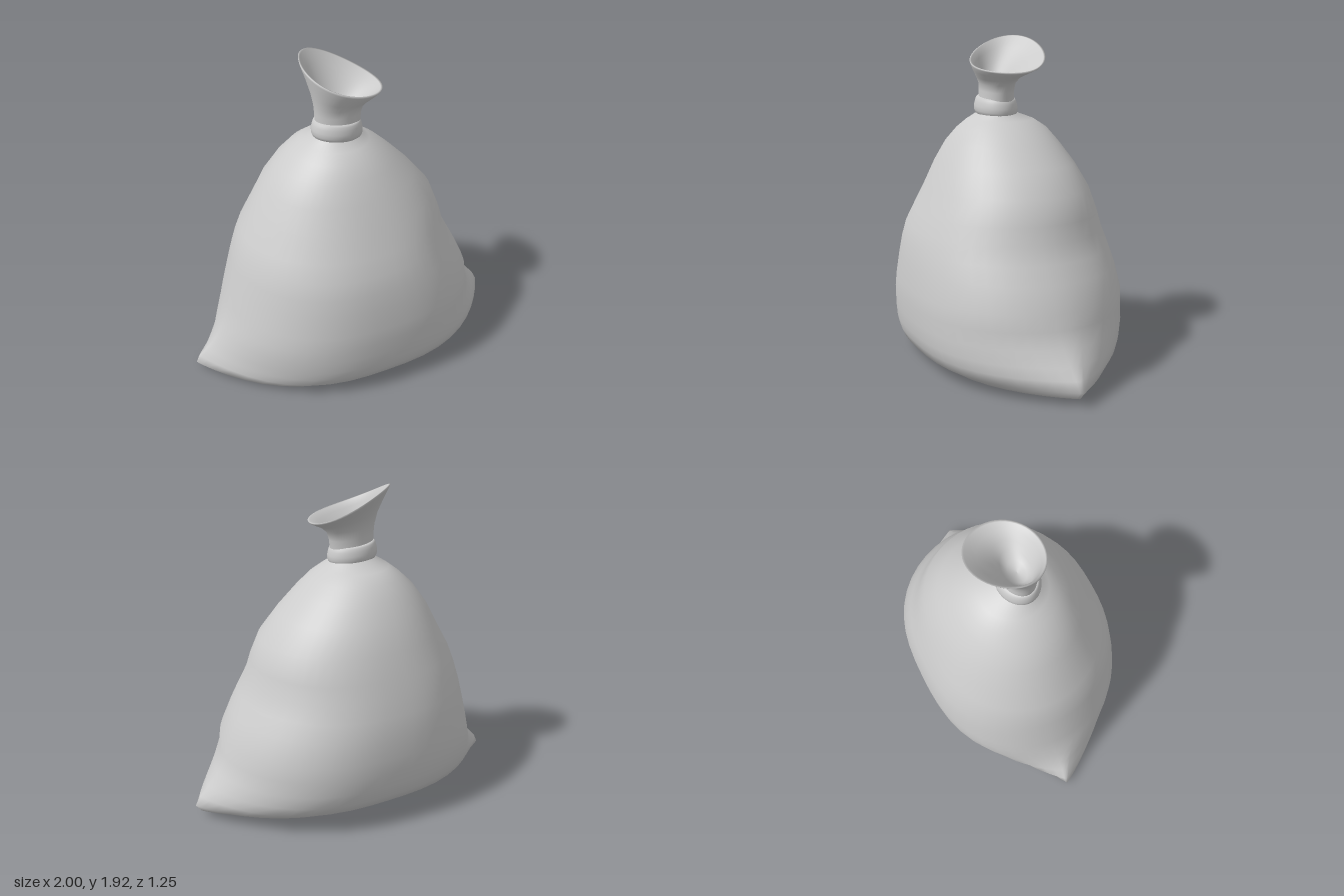
import * as THREE from 'three';

const SEG = 48;
const material = new THREE.MeshStandardMaterial({ color: 0xcccccc, side: THREE.DoubleSide });

// Skin closed rings, listed bottom to top for an outward face, with shared smooth vertices.
function loft(name, rings) {
  const position = [], index = [];
  rings.forEach(ring => ring.forEach(p => position.push(...p)));
  for (let r = 0; r < rings.length - 1; r++) {
    for (let i = 0; i < SEG; i++) {
      const a = r * SEG + i, b = r * SEG + (i + 1) % SEG;
      index.push(a, a + SEG, b, b, a + SEG, b + SEG);
    }
  }
  const geometry = new THREE.BufferGeometry();
  geometry.setAttribute('position', new THREE.Float32BufferAttribute(position, 3));
  geometry.setIndex(index);
  geometry.computeVertexNormals();
  const mesh = new THREE.Mesh(geometry, material);
  mesh.name = name;
  return mesh;
}

const around = fn => Array.from({ length: SEG }, (_, i) => {
  const a = i / SEG * Math.PI * 2;
  return fn(Math.cos(a), Math.sin(a));
});

// Sack section: a full oval, squarer lower down, that turns into a lens as sharp goes from 0 to 1.
function sackRing([y, left, right, front, back, sharp]) {
  return around((c, s) => {
    const fullness = Math.pow(Math.max(0, 1 - Math.pow(Math.abs(c), 2.8 - 0.5 * y)), 0.5 + 0.45 * sharp);
    const mid = (front + back) / 2 * (1 - sharp) + sharp * (0.045 * c - 0.012);
    return [
      (left + right) / 2 + c * (right - left) / 2,
      y,
      mid + ((s >= 0 ? front : back) - mid) * fullness
    ];
  });
}

// Tilted ellipse used for the tie and the neck; wave lifts two opposite corners.
const tiltedRing = ([y, cx, cz, rx, rz, tiltX, tiltZ, wave]) =>
  around((c, s) => [cx + rx * c, y + tiltX * c + tiltZ * s + wave * 2 * s * c, cz + rz * s]);

export function createModel() {
  const group = new THREE.Group();
  group.name = 'tiedSack';

  // Sack body: y, left edge, right edge, front, back, sharpness
  const body = [
    [0.01, 0, 0, 0, 0, 1],
    [0.007, -0.6, 0.55, 0.06, -0.06, 1],
    [0.004, -0.91, 0.82, 0.16, -0.12, 1],
    [0.02, -0.965, 0.91, 0.36, -0.21, 1],
    [0.04, -1, 0.965, 0.51, -0.31, 1],
    [0.085, -0.98, 1, 0.58, -0.455, 1],
    [0.14, -0.935, 0.97, 0.607, -0.55, 0.8],
    [0.2, -0.89, 0.92, 0.622, -0.59, 0.55],
    [0.28, -0.85, 0.86, 0.628, -0.615, 0.3],
    [0.37, -0.81, 0.81, 0.63, -0.622, 0.13],
    [0.46, -0.785, 0.795, 0.628, -0.624, 0.1],
    [0.6, -0.745, 0.725, 0.61, -0.61, 0.07],
    [0.7, -0.72, 0.67, 0.592, -0.588, 0.06],
    [0.8, -0.69, 0.615, 0.565, -0.56, 0.05],
    [0.9, -0.65, 0.592, 0.52, -0.53, 0.04],
    [1.04, -0.572, 0.537, 0.46, -0.48, 0.02],
    [1.18, -0.5, 0.42, 0.395, -0.415, 0],
    [1.3, -0.415, 0.3, 0.328, -0.338, 0],
    [1.38, -0.33, 0.21, 0.265, -0.273, 0],
    [1.43, -0.265, 0.135, 0.205, -0.2, 0],
    [1.47, -0.2, 0.07, 0.14, -0.09, 0],
    [1.52, -0.18, 0.05, 0.12, -0.07, 0]
  ];
  group.add(loft('sackBody', body.map(sackRing)));

  // Rounded tie band: height and swell of its profile
  const band = [[1.472, -0.035], [1.46, -0.014], [1.466, -0.004], [1.485, 0.003], [1.51, 0.003],
    [1.535, -0.003], [1.553, -0.009], [1.563, -0.018], [1.563, -0.045]];
  group.add(loft('tieBand', band.map(([y, d]) =>
    tiltedRing([y, -0.064, 0.032, 0.15 + d, 0.122 + d, -0.012, 0, 0]))));

  // Gathered neck: outside up to the flared slanted rim, then down the inside
  const neck = [
    [1.53, -0.06, 0.032, 0.135, 0.1, -0.01, 0, 0],
    [1.6, -0.058, 0.032, 0.14, 0.095, -0.01, 0, 0],
    [1.65, -0.052, 0.03, 0.15, 0.1, -0.012, -0.01, 0],
    [1.7, -0.04, 0.024, 0.174, 0.128, -0.03, -0.025, 0.004],
    [1.755, -0.024, 0.002, 0.21, 0.178, -0.06, -0.042, 0.01],
    [1.793, -0.014, -0.017, 0.236, 0.212, -0.08, -0.054, 0.015],
    [1.807, -0.012, -0.02, 0.24, 0.22, -0.083, -0.056, 0.015],
    [1.805, -0.013, -0.02, 0.229, 0.209, -0.082, -0.055, 0.015],
    [1.763, -0.026, -0.001, 0.194, 0.166, -0.06, -0.042, 0.01],
    [1.705, -0.042, 0.02, 0.154, 0.114, -0.03, -0.025, 0.004],
    [1.65, -0.054, 0.026, 0.12, 0.08, -0.012, -0.01, 0],
    [1.61, -0.06, 0.03, 0.07, 0.05, 0, 0, 0],
    [1.6, -0.06, 0.03, 0, 0, 0, 0, 0]
  ];
  group.add(loft('openNeck', neck.map(tiltedRing)));

  return group;
}
